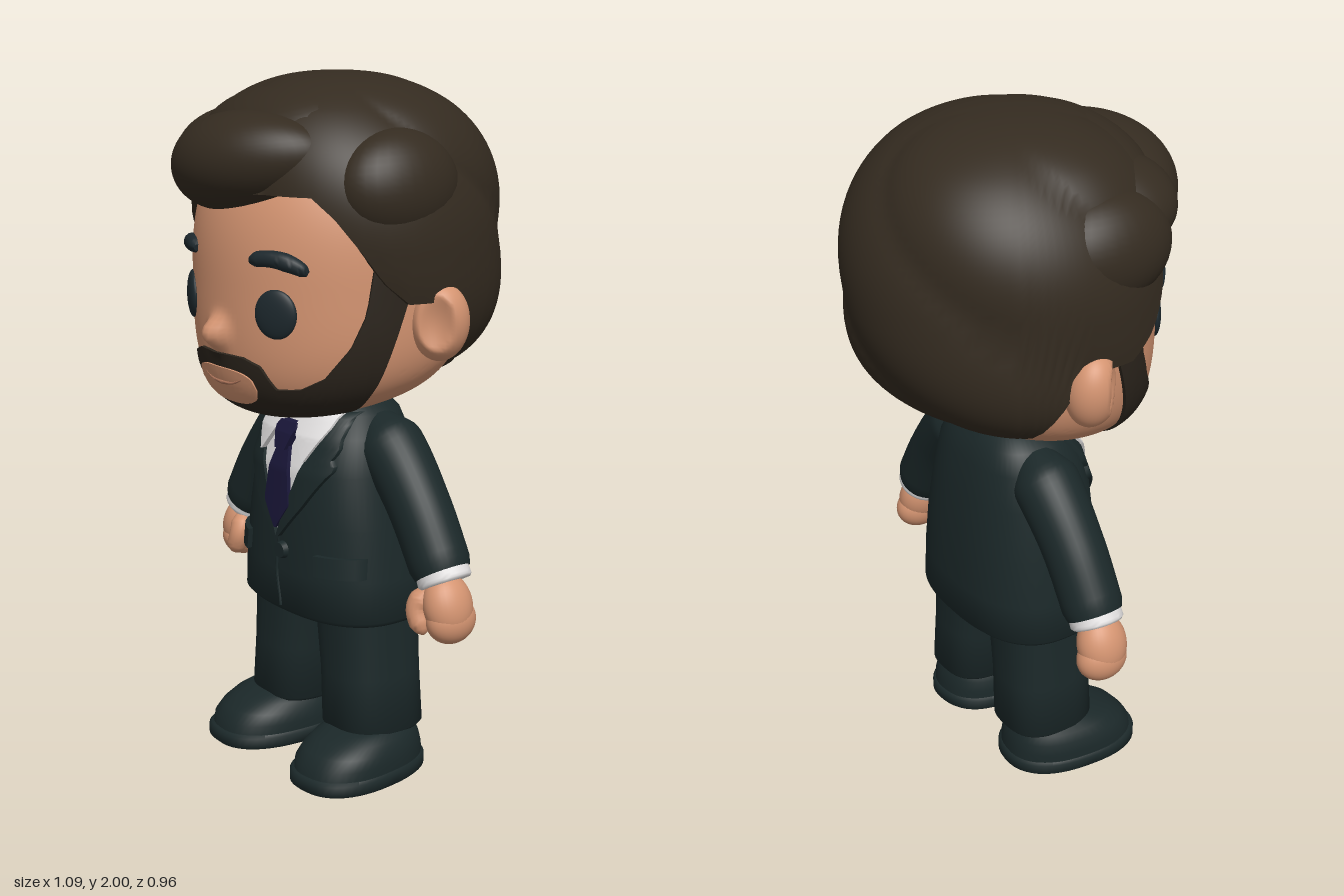
import * as THREE from 'three';
import { mergeVertices, toCreasedNormals } from 'three/addons/utils/BufferGeometryUtils.js';

const material = (name, color) => {
  const m = new THREE.MeshStandardMaterial({ color });
  m.name = name;
  return m;
};
const V = (x, y, z) => new THREE.Vector3(x, y, z);
const clamp = THREE.MathUtils.clamp;
const deg = Math.PI / 180;

// Piecewise linear table lookup: rows are [key, value, value...]
function lookup(rows, key) {
  let i = 0;
  while (i < rows.length - 2 && key > rows[i + 1][0]) i++;
  const a = rows[i], b = rows[i + 1];
  const t = clamp((key - a[0]) / (b[0] - a[0]), 0, 1);
  return a.slice(1).map((v, k) => v + (b[k + 1] - v) * t);
}

// Surface from a rule; u runs rightwards and v upwards seen from outside
function grid(fn, nu, nv, crease = 0.9) {
  const pos = [], index = [];
  for (let j = 0; j <= nv; j++)
    for (let i = 0; i <= nu; i++) pos.push(...fn(i / nu, j / nv, i, j).toArray());
  for (let j = 0; j < nv; j++)
    for (let i = 0; i < nu; i++) {
      const a = j * (nu + 1) + i, c = a + nu + 1;
      index.push(a, a + 1, c + 1, a, c + 1, c);
    }
  const g = new THREE.BufferGeometry();
  g.setAttribute('position', new THREE.Float32BufferAttribute(pos, 3));
  g.setIndex(index);
  return toCreasedNormals(mergeVertices(g, 1e-5), crease);
}

// Raised patch on a surface, its edges sunk back into that surface
function slab(fn, off, nu, nv) {
  return grid((u, v, i, j) => {
    const edge = i === 0 || j === 0 || i === nu || j === nv;
    return fn(clamp((i - 1) / (nu - 2), 0, 1), clamp((j - 1) / (nv - 2), 0, 1), edge ? -0.004 : off);
  }, nu, nv);
}

// Stack of rounded sections [y, cx, cz, rx, rz], closed at both ends
function loft(rings, n = 2.5, seg = 40) {
  const rows = [[...rings[0].slice(0, 3), 0, 0], ...rings, [...rings.at(-1).slice(0, 3), 0, 0]];
  return grid((u, v, i, j) => {
    const [y, cx, cz, rx, rz] = rows[j], a = (u - 0.5) * 2 * Math.PI;
    const p = t => Math.sign(t) * Math.abs(t) ** (2 / n);
    return V(cx + rx * p(Math.sin(i === seg ? -Math.PI : a)), y, cz + rz * p(Math.cos(a)));
  }, seg, rows.length - 1);
}

// Tapering round limb along a curve; radii are [t, radius]
function limb(points, radii, nv = 20, nu = 20) {
  const curve = new THREE.CatmullRomCurve3(points);
  const f = curve.computeFrenetFrames(nv - 2);
  return grid((u, v, i, j) => {
    const k = clamp(j - 1, 0, nv - 2), t = k / (nv - 2);
    const r = j === 0 || j === nv ? 0 : lookup(radii, t)[0];
    const a = (i % nu) / nu * 2 * Math.PI;
    return curve.getPoint(t).addScaledVector(f.normals[k], r * Math.cos(a))
      .addScaledVector(f.binormals[k], r * Math.sin(a));
  }, nu, nv);
}

// Head surface by azimuth and height, with a forward-sloping jaw and a button nose
function headPt(a, y, off = 0) {
  const k = (y - 1.45) / (y < 1.45 ? 0.35 : 0.45), n = k < 0 ? 3.5 : 2.6;
  const r = Math.max(0, 1 - Math.abs(k) ** n) ** (1 / n), c = Math.cos(a);
  const z = ((c < 0 ? 0.345 : 0.405) * r + off) * c;
  const nose = c < 0 ? 0 : 0.05 * Math.exp(-(((a / 0.1) ** 2 + ((y - 1.342) / 0.034) ** 2) ** 1.4));
  return V((0.4 * r + off) * Math.sin(a), y - 0.21 * z * Math.max(0, -k), z + nose);
}
function headAt(x, y, off = 0) {
  let a = Math.asin(x / 0.42), h = y, p;
  for (let i = 0; i < 10; i++) {
    p = headPt(a, h, off);
    h += y - p.y;
    a += (x - p.x) / 0.42;
  }
  return p;
}

const TORSO = [[0.47, 0, 0, 0.29, 0.195], [0.485, 0, 0, 0.303, 0.21], [0.6, 0, 0, 0.295, 0.21],
  [0.75, 0, 0, 0.275, 0.204], [0.9, 0, 0.002, 0.25, 0.19], [1.0, 0, -0.005, 0.225, 0.165],
  [1.06, 0, -0.015, 0.19, 0.136], [1.1, 0, -0.02, 0.13, 0.1]];
function torsoPt(x, y, off) {
  const [, cz, rx, rz] = lookup(TORSO, y);
  return V(x, y, cz + off + rz * Math.max(0, 1 - Math.abs(x / rx) ** 2.5) ** 0.4);
}
// Cloth plate on the jacket front: rows of [y, x0, x1], bottom to top
function plate(rows, off, s = 1) {
  return slab((u, v, o) => {
    const y = rows[0][0] + (rows.at(-1)[0] - rows[0][0]) * v;
    let [a, b] = lookup(rows, y);
    if (s < 0) [a, b] = [-b, -a];
    return torsoPt(a + (b - a) * u, y, o);
  }, off, 12, 26);
}

// Hairline height by azimuth in degrees
const HAIRLINE = [[0, 1.7], [42, 1.7], [50, 1.65], [60, 1.56], [68, 1.48], [78, 1.42], [97, 1.42],
  [105, 1.32], [113, 1.22], [120, 1.18], [180, 1.165]];
function hairPt(u, v, j) {
  const a = (u - 0.5) * 2 * Math.PI;
  const line = lookup(HAIRLINE, Math.abs(a) / deg)[0], k0 = (line - 1.55) / (line < 1.55 ? 0.4 : 0.435);
  const power = t => (t < 0 ? 2.6 + Math.sin(a) ** 2 : 2.35);
  const phi0 = Math.asin(Math.sign(k0) * Math.abs(k0) ** (power(k0) / 2));
  const phi = phi0 + (Math.PI / 2 - phi0) * Math.max(0, v), n = power(phi);
  const k = Math.sign(phi) * Math.abs(Math.sin(phi)) ** (2 / n), r = Math.max(0, Math.cos(phi)) ** (2 / n);
  const y = 1.55 + k * (k < 0 ? 0.4 : 0.435);
  const lock = 0.024 * Math.abs(Math.sin(Math.PI * (4 * u + 2.2 * y))) ** 0.7 * Math.min(1, r * 1.5);
  const R = j === 0 ? 0.8 : 1;
  return V((0.438 * r + lock) * R * Math.sin(a), y + 0.015 * Math.max(0, k),
    ((Math.cos(a) < 0 ? 0.455 : 0.415) * r + lock) * R * Math.cos(a));
}

export function createModel() {
  const skin = material('skin', 0xd49471), lip = material('lip line', 0xad745a);
  const hair = material('hair', 0x342b20), beard = material('beard', 0x2b241c);
  const suit = material('suit', 0x1b2829), dark = material('eye dark', 0x1d282d);
  const white = material('shirt white', 0xe2e0e0), navy = material('tie navy', 0x1a173a);
  const model = new THREE.Group();
  const add = (name, geometry, mat) => {
    const m = new THREE.Mesh(geometry, mat);
    m.name = name;
    model.add(m);
    return m;
  };
  const ball = (name, mat, p, r, rot = [0, 0, 0]) => {
    const m = add(name, new THREE.SphereGeometry(1, 32, 24), mat);
    m.position.set(...p);
    m.scale.set(...r);
    m.rotation.set(...rot);
    return m;
  };

  // Head and face
  add('head', grid((u, v) => {
    const k = -Math.cos(Math.PI * v);
    return headPt((u - 0.5) * 2 * Math.PI, 1.45 + k * (k < 0 ? 0.35 : 0.45));
  }, 160, 96, 1.2), skin);
  add('neck', new THREE.CylinderGeometry(0.11, 0.12, 0.16, 32).translate(0, 1.06, 0), skin);
  const beardTop = [[0, 1.3], [14, 1.297], [22, 1.28], [25, 1.25], [28, 1.225], [38, 1.225], [48, 1.25],
    [58, 1.32], [64, 1.4], [67, 1.53], [81, 1.53]];
  const beardBottom = [[0, 1.102], [56, 1.103], [64, 1.14], [70, 1.22], [76, 1.34], [81, 1.44]];
  add('beard', slab((u, v, o) => {
    const a = (u - 0.5) * 162, b = lookup(beardBottom, Math.abs(a))[0], t = lookup(beardTop, Math.abs(a))[0];
    return headPt(a * deg, b + (t - b) * v ** 1.6, o);
  }, 0.01, 130, 26), beard);
  add('mouthArea', slab((u, v, o) => {
    const w = 2 * u - 1, h = 0.045 * Math.max(0, 1 - Math.abs(w) ** 3) ** 0.4;
    return headPt(w * 19 * deg, 1.222 + (2 * v - 1) * h, Math.max(o, 0.006));
  }, 0.015, 32, 14), skin);
  add('mouth', limb([[-0.085, 1.197], [-0.05, 1.183], [0, 1.178], [0.05, 1.183], [0.085, 1.197]]
    .map(([x, y]) => headAt(x, y, 0.014)), [[0, 0.002], [0.5, 0.006], [1, 0.002]], 20, 10), lip);

  for (const s of [-1, 1]) {
    const eye = headAt(s * 0.195, 1.39);
    ball('eye', dark, eye.toArray(), [0.061, 0.067, 0.018], [0, Math.atan2(eye.x, eye.z), 0]);
    add('eyebrow', limb([[0.125, 1.53], [0.165, 1.537], [0.205, 1.535], [0.245, 1.52], [0.268, 1.503]]
      .map(([x, y]) => headAt(s * x, y, 0.001)), [[0, 0.01], [0.1, 0.021], [0.6, 0.025], [0.9, 0.018], [1, 0.008]], 26, 14), dark);

    // Ear turned slightly forward, hollow in its outer face
    const ear = new THREE.SphereGeometry(1, 40, 30), p = ear.attributes.position;
    for (let i = 0; i < p.count; i++) {
      const x = p.getX(i), d = Math.hypot((p.getY(i) - 0.1) / 0.7, (p.getZ(i) - 0.3) / 0.6);
      if (x * s > 0 && d < 1) p.setX(i, x - s * 0.5 * (1 - d * d));
    }
    ear.computeVertexNormals();
    const e = add('ear', ear, skin);
    e.position.set(s * 0.422, 1.36, -0.025);
    e.scale.set(0.072, 0.108, 0.08);
    e.rotation.set(0, -s * 0.45, -s * 0.1);
  }

  // Hair
  add('hairCap', grid((u, v, i, j) => hairPt(i === 120 ? 0 : u, (j - 1) / 47, j), 120, 48, 1.2), hair);
  const quiff = new THREE.SphereGeometry(1, 48, 32).scale(0.29, 0.135, 0.16).rotateZ(0.14);
  const q = quiff.attributes.position;
  for (let i = 0; i < q.count; i++) q.setZ(i, q.getZ(i) - 0.9 * q.getX(i) ** 2);
  quiff.computeVertexNormals();
  add('quiff', quiff, hair).position.set(-0.02, 1.773, 0.32);
  ball('upperQuiff', hair, [-0.03, 1.855, 0.17], [0.28, 0.115, 0.19], [0.25, 0, 0.08]);
  ball('sweptLock', hair, [-0.25, 1.79, 0.18], [0.15, 0.1, 0.16], [0, 0, 0.5]);
  ball('leftTuft', hair, [0.337, 1.72, 0.06], [0.123, 0.155, 0.19], [0, 0, 0.15]);
  ball('rightTuft', hair, [-0.333, 1.71, 0.07], [0.123, 0.155, 0.2], [0, 0, -0.22]);

  // Jacket, shirt and tie
  add('jacket', loft(TORSO, 2.5, 64), suit);
  add('shirt', plate([[0.72, -0.004, 0.004], [0.9, -0.08, 0.08], [1.08, -0.14, 0.14]], 0.006), white);
  add('tie', plate([[0.725, -0.003, 0.003], [0.8, -0.056, 0.056], [0.9, -0.042, 0.042], [0.97, -0.024, 0.024]], 0.018), navy);
  add('tieKnot', plate([[0.955, -0.022, 0.022], [1.015, -0.044, 0.044], [1.03, -0.036, 0.036]], 0.03), navy);
  for (const s of [-1, 1]) {
    add('collar', plate([[0.935, 0.095, 0.1], [1.0, 0.05, 0.135], [1.03, 0.028, 0.145], [1.075, 0.075, 0.15]], 0.024, s), white);
    add('lapel', plate([[0.7, 0.0, 0.012], [0.8, 0.04, 0.1], [0.925, 0.092, 0.19], [0.955, 0.105, 0.165],
      [0.965, 0.11, 0.185], [1.07, 0.14, 0.17]], 0.014, s), suit);
    add('pocketFlap', plate([[0.615, 0.16, 0.272], [0.675, 0.155, 0.268]], 0.016, s), suit);
  }
  add('frontSeam', limb([V(0.0, 0.71, 0.202), V(-0.006, 0.6, 0.21), V(0.012, 0.49, 0.21)], [[0, 0.005], [1, 0.005]], 12, 8), suit);
  add('button', new THREE.CylinderGeometry(0.022, 0.026, 0.016, 24).rotateX(Math.PI / 2), suit)
    .position.set(0.02, 0.66, 0.214);

  // Arms and hands
  for (const s of [-1, 1]) {
    add('sleeve', limb([V(s * 0.15, 1.02, -0.025), V(s * 0.25, 0.94, -0.025), V(s * 0.353, 0.82, -0.022), V(s * 0.453, 0.66, -0.02)],
      [[0, 0.06], [0.2, 0.098], [0.6, 0.09], [0.97, 0.087], [1, 0.08]], 24, 32), suit);
    add('cuff', limb([V(s * 0.437, 0.686, -0.02), V(s * 0.453, 0.659, -0.02), V(s * 0.467, 0.634, -0.02)],
      [[0, 0.075], [0.9, 0.077], [1, 0.071]], 10, 32), white);
    ball('palm', skin, [s * 0.482, 0.575, -0.015], [0.061, 0.092, 0.075], [0, 0, s * 0.3]);
    ball('fingers', skin, [s * 0.49, 0.535, -0.02], [0.057, 0.068, 0.078], [0, 0, s * 0.1]);
    add('thumb', limb([V(s * 0.445, 0.62, 0.015), V(s * 0.425, 0.565, 0.045), V(s * 0.455, 0.495, 0.048)],
      [[0, 0.02], [0.3, 0.035], [0.8, 0.031], [0.94, 0.02], [1, 0.004]], 22, 18), skin);
  }

  // Trousers and shoes
  add('hips', loft([[0.43, 0, 0, 0.17, 0.1], [0.46, 0, 0, 0.26, 0.13], [0.55, 0, 0, 0.27, 0.15]]), suit);
  for (const s of [-1, 1]) {
    add('trouserLeg', loft([[0.13, s * 0.173, 0, 0.118, 0.132], [0.14, s * 0.173, 0, 0.127, 0.14],
      [0.3, s * 0.162, 0, 0.124, 0.138], [0.52, s * 0.142, 0, 0.134, 0.14]], 2.6), suit);
    const shoe = (name, rings) => {
      const m = add(name, loft(rings, 2.4, 48), suit);
      m.position.x = s * 0.19;
      m.rotation.y = s * 0.1;
    };
    shoe('sole', [[0, 0, 0.075, 0.14, 0.206], [0.008, 0, 0.075, 0.148, 0.215], [0.036, 0, 0.075, 0.148, 0.215], [0.044, 0, 0.075, 0.142, 0.208]]);
    shoe('shoe', [[0.03, 0, 0.073, 0.14, 0.205], [0.07, 0, 0.07, 0.14, 0.2], [0.1, 0, 0.06, 0.132, 0.183],
      [0.125, 0, 0.045, 0.119, 0.158], [0.145, 0, 0.025, 0.1, 0.125], [0.155, 0, 0.01, 0.07, 0.08]]);
  }
  return model;
}
